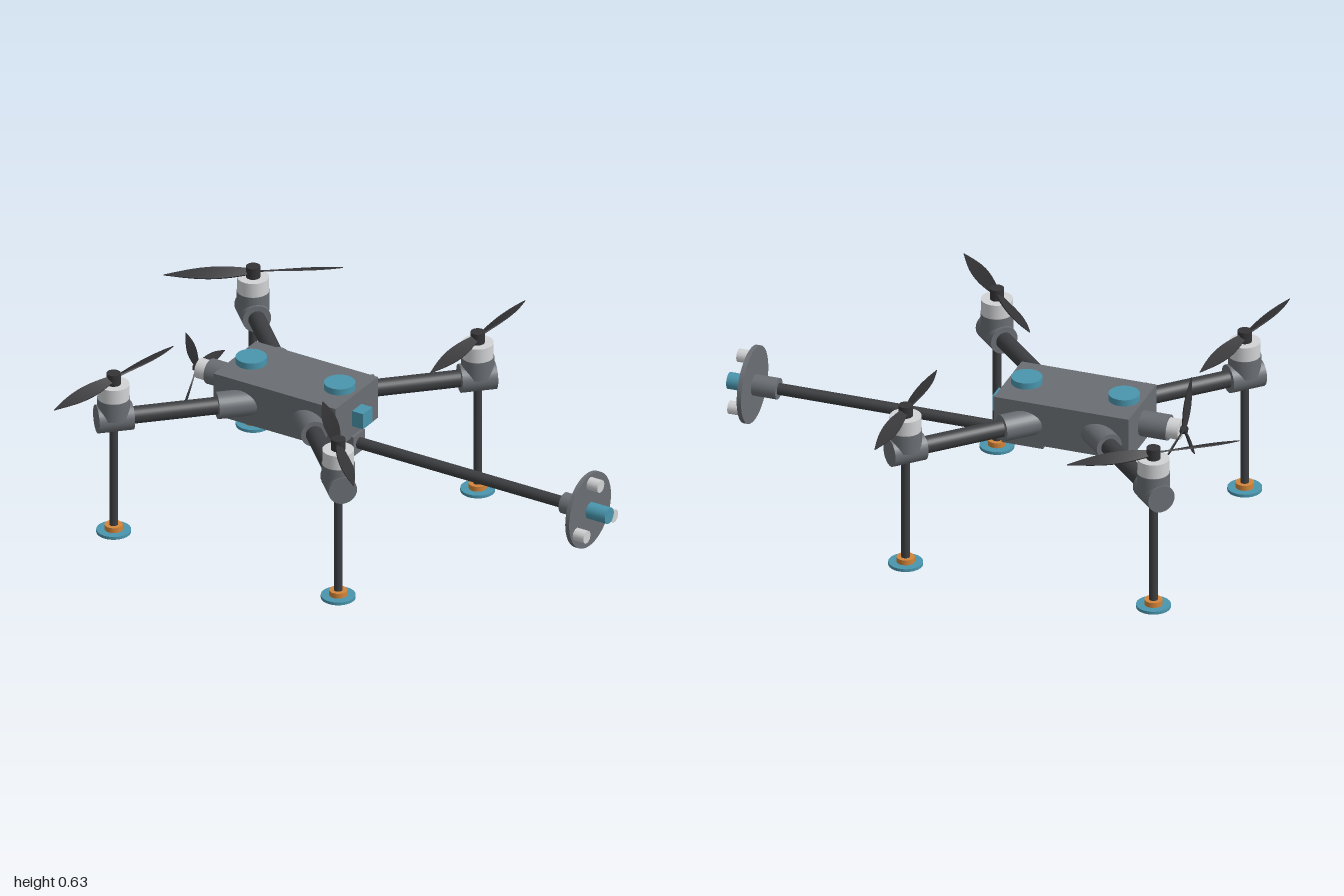
import * as THREE from 'three';

const mat = (name, color) => Object.assign(new THREE.MeshStandardMaterial({ color }), { name });

export function createModel() {
  const shell = mat('shell grey', 0x6a6e73);
  const carbon = mat('carbon', 0x3c3e41);
  const blade = mat('blade black', 0x343437);
  const silver = mat('silver', 0xd2d3d5);
  const teal = mat('teal', 0x4a96ae);
  const orange = mat('orange', 0xd2853a);

  const model = new THREE.Group();
  model.name = 'surveyDrone';

  const add = (parent, name, geometry, material, x = 0, y = 0, z = 0) => {
    const mesh = new THREE.Mesh(geometry, material);
    mesh.name = name;
    mesh.position.set(x, y, z);
    parent.add(mesh);
    return mesh;
  };
  const box = (parent, name, material, size, pos) =>
    add(parent, name, new THREE.BoxGeometry(...size), material, ...pos);
  // Upright cylinder from y0 to y1
  const post = (parent, name, material, r, y0, y1, x = 0, z = 0, sides = 28) =>
    add(parent, name, new THREE.CylinderGeometry(r, r, y1 - y0, sides), material, x, (y0 + y1) / 2, z);
  // Cylinder lying along x from x0 to x1
  const rod = (parent, name, material, r, x0, x1, y = 0, z = 0, sides = 28) => {
    const geometry = new THREE.CylinderGeometry(r, r, x1 - x0, sides).rotateZ(-Math.PI / 2);
    return add(parent, name, geometry, material, (x0 + x1) / 2, y, z);
  };

  // Twisted, pointed blade along +x
  const bladeGeometry = (length, width) => {
    const geometry = new THREE.BoxGeometry(1, 1, 1, 14, 1, 4);
    const p = geometry.attributes.position;
    for (let i = 0; i < p.count; i++) {
      const t = p.getX(i) + 0.5;
      const chord = t < 0.45
        ? THREE.MathUtils.lerp(0.45, 1, Math.sin((t / 0.45) * Math.PI / 2))
        : Math.max(0.04, Math.cos(((t - 0.45) / 0.55) * Math.PI / 2) ** 0.9);
      const w = p.getZ(i) * width * chord;
      const h = p.getY(i) * 0.006 * (1 - 0.6 * t);
      const pitch = THREE.MathUtils.lerp(0.55, 0.2, t);
      p.setXYZ(i, 0.01 + t * (length - 0.01),
        h * Math.cos(pitch) + w * Math.sin(pitch),
        w * Math.cos(pitch) - h * Math.sin(pitch));
    }
    geometry.computeVertexNormals();
    return geometry;
  };
  const propeller = (parent, name, count, length, width, angle) => {
    const prop = new THREE.Group();
    prop.name = name;
    parent.add(prop);
    const geometry = bladeGeometry(length, width);
    for (let i = 0; i < count; i++) {
      add(prop, 'blade', geometry, blade).rotation.y = angle + (i / count) * Math.PI * 2;
    }
    return prop;
  };

  // Body with top caps and front sensor
  const cx = -0.285;
  box(model, 'body', shell, [0.5, 0.162, 0.28], [cx, 0.456, 0]);
  for (const x of [-0.467, -0.105]) post(model, 'topCap', teal, 0.055, 0.535, 0.561, x, 0, 32);
  box(model, 'frontSensor', teal, [0.06, 0.06, 0.062], [-0.02, 0.45, 0]);

  // Four arms, each with a motor, propeller and leg
  const corners = [[-1, -1, 0.64], [1, -1, 1.57], [-1, 1, 1.4], [1, 1, -0.845]];
  for (const [sx, sz, propAngle] of corners) {
    const arm = new THREE.Group();
    arm.name = 'arm';
    arm.position.set(cx, 0.452, 0);
    arm.rotation.y = Math.atan2(-sz, sx);
    model.add(arm);
    rod(arm, 'armSocket', shell, 0.048, 0.1, 0.283);
    rod(arm, 'armTube', carbon, 0.031, 0.2, 0.6);
    rod(arm, 'armJoint', shell, 0.051, 0.587, 0.714);

    const corner = new THREE.Group();
    corner.name = 'rotorAndLeg';
    corner.position.set(cx + sx * 0.46, 0, sz * 0.463);
    model.add(corner);
    post(corner, 'motorCollar', shell, 0.058, 0.46, 0.532);
    post(corner, 'motor', silver, 0.056, 0.532, 0.586);
    post(corner, 'rotorHub', blade, 0.025, 0.586, 0.628);
    propeller(corner, 'propeller', 2, 0.314, 0.053, propAngle).position.y = 0.607;
    post(corner, 'leg', carbon, 0.0155, 0.025, 0.43);
    post(corner, 'footCollar', orange, 0.032, 0.01, 0.03);
    post(corner, 'footPad', teal, 0.061, 0, 0.011, 0, 0, 32);
  }

  // Rear pusher with three blades
  rod(model, 'rearMount', shell, 0.046, -0.635, -0.5, 0.455);
  rod(model, 'rearMotor', silver, 0.037, -0.678, -0.635, 0.455);
  rod(model, 'rearHub', blade, 0.014, -0.7, -0.67, 0.455);
  const pusher = propeller(model, 'rearPropeller', 3, 0.185, 0.036, -0.42);
  pusher.position.set(-0.689, 0.457, 0);
  pusher.rotation.z = Math.PI / 2;

  // Probe boom under the body
  const boomY = 0.343;
  box(model, 'boomMount', shell, [0.155, 0.075, 0.075], [-0.102, boomY, 0]);
  rod(model, 'boom', carbon, 0.021, -0.1, 0.83, boomY);
  rod(model, 'probeCollar', shell, 0.038, 0.815, 0.907, boomY);
  rod(model, 'probeDisc', shell, 0.139, 0.905, 0.921, boomY, 0, 48);
  rod(model, 'probeTip', teal, 0.03, 0.92, 1, boomY);
  for (let i = 0; i < 3; i++) {
    const a = Math.PI / 2 + (i * Math.PI * 2) / 3;
    rod(model, 'probeStud', silver, 0.024, 0.92, 0.965,
      boomY + Math.sin(a) * 0.106, Math.cos(a) * 0.106, 10);
  }
  return model;
}
